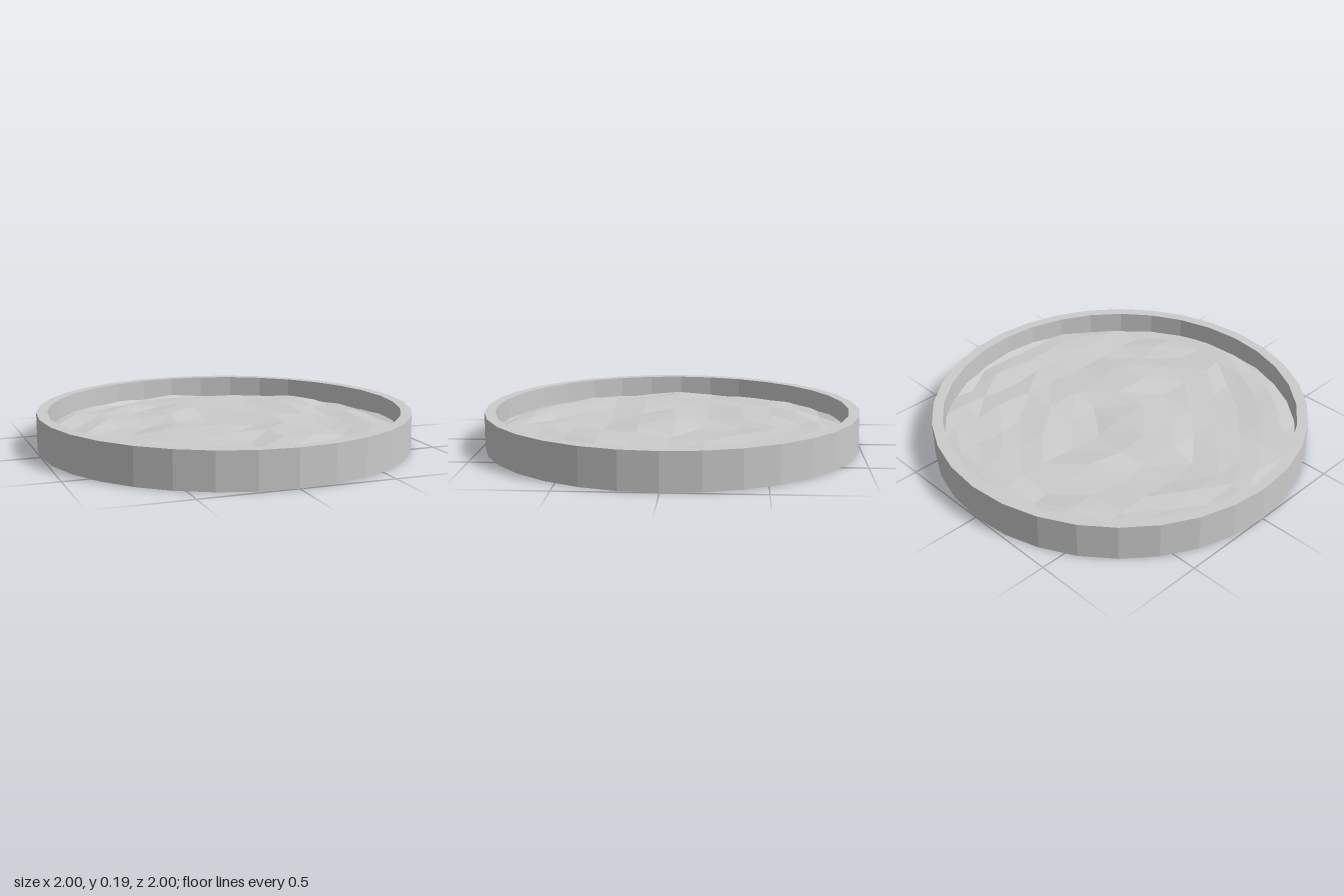
import * as THREE from 'three';

const SIDES = 32;
const HEIGHT = 0.195;
const INNER = 0.943;

// Repeatable noise in -1..1 for a grid point
function noise(i, j, k) {
  const s = Math.sin(i * 127.1 + j * 311.7 + k * 74.7) * 43758.5453;
  return 2 * (s - Math.floor(s)) - 1;
}

// Uneven ground: grid lines spaced by sine, so the outermost points fall on the round edge
function groundGeometry() {
  const n = SIDES / 4, radius = 0.97, level = 0.085, bump = 0.014, shift = 0.018;
  const point = (i, j) => {
    const wobble = Math.abs(i) + Math.abs(j) < n ? shift : 0;
    return [
      radius * Math.sin((i * Math.PI) / (2 * n)) + wobble * noise(i, j, 1),
      level + bump * noise(i, j, 2),
      radius * Math.sin((j * Math.PI) / (2 * n)) + wobble * noise(i, j, 3),
    ];
  };
  const positions = [];
  const triangle = (...corners) => {
    if (corners.every(([i, j]) => Math.abs(i) + Math.abs(j) <= n)) {
      corners.forEach(([i, j]) => positions.push(...point(i, j)));
    }
  };
  for (let i = -n; i < n; i++) {
    for (let j = -n; j < n; j++) {
      const a = [i, j], b = [i, j + 1], c = [i + 1, j + 1], d = [i + 1, j];
      // The diagonal of each cell follows the rim
      if ((i >= 0) === (j >= 0)) {
        triangle(a, b, d);
        triangle(b, c, d);
      } else {
        triangle(a, b, c);
        triangle(a, c, d);
      }
    }
  }
  const geometry = new THREE.BufferGeometry();
  geometry.setAttribute('position', new THREE.Float32BufferAttribute(positions, 3));
  geometry.computeVertexNormals();
  return geometry;
}

export function createModel() {
  const group = new THREE.Group();
  group.name = 'roundBase';
  const material = new THREE.MeshStandardMaterial({ color: 0xcccccc, flatShading: true });

  // Underside, outer wall, flat rim and inner wall
  const profile = [[0, 0], [1, 0], [1, HEIGHT], [INNER, HEIGHT], [INNER, 0.04]]
    .map(([x, y]) => new THREE.Vector2(x, y));
  const tray = new THREE.Mesh(new THREE.LatheGeometry(profile, SIDES), material);
  tray.name = 'tray';

  const ground = new THREE.Mesh(groundGeometry(), material);
  ground.name = 'unevenGround';

  group.add(tray, ground);
  return group;
}
